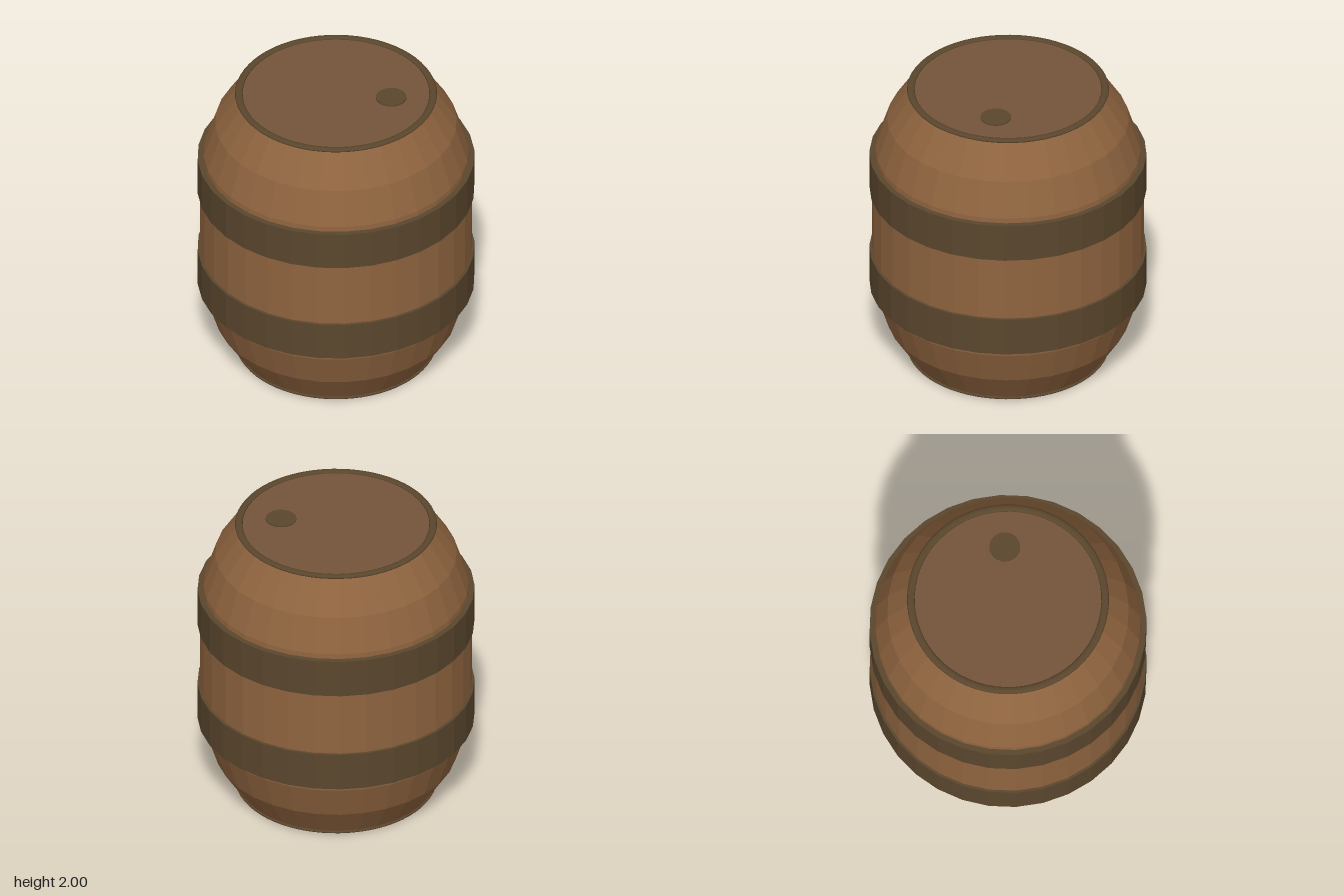
import * as THREE from 'three';

const material = (color, flatShading = false) =>
  new THREE.MeshStandardMaterial({ color, flatShading });

// Revolve a list of [radius, height] pairs
const lathe = (points, sides) =>
  new THREE.LatheGeometry(points.map(([r, y]) => new THREE.Vector2(r, y)), sides);

export function createModel() {
  const barrel = new THREE.Group();
  barrel.name = 'barrel';
  const wood = material(0x8f643f, true);
  const headWood = material(0x75533a);
  const iron = material(0x5a462d, true);
  const rimIron = material(0x5a462d);

  const add = (name, geometry, mat, x, y) => {
    const mesh = new THREE.Mesh(geometry, mat);
    mesh.name = name;
    mesh.position.set(x, y, 0);
    barrel.add(mesh);
    return mesh;
  };

  // Bulging staves, mirrored about the middle
  const half = [[0.645, 0.012], [0.79, 0.235], [0.867, 0.47], [0.89, 0.78]];
  const profile = [...half, ...half.map(([r, y]) => [r, 2 - y]).reverse()];
  add('staves', lathe(profile, 32), wood, 0, 0);

  // Wide hoops with flat upper and lower edges
  const hoop = [[0.85, -0.133], [0.906, -0.133], [0.906, 0.133], [0.85, 0.133]];
  for (const [name, y] of [['lowerHoop', 0.64], ['upperHoop', 1.363]]) {
    add(name, lathe(hoop, 32), iron, 0, y);
  }

  // Round heads and the flattened rims around them
  for (const [side, y, s] of [['bottom', 0, 1], ['top', 2, -1]]) {
    add(side + 'Head', new THREE.CylinderGeometry(0.64, 0.64, 0.02, 64), headWood, 0, y + s * 0.022);
    const rim = new THREE.TorusGeometry(0.635, 0.025, 10, 64).rotateX(Math.PI / 2).scale(1, 0.48, 1);
    add(side + 'Rim', rim, rimIron, 0, y + s * 0.012);
  }

  // Bung set off-centre in the top head
  add('bung', new THREE.CylinderGeometry(0.1, 0.1, 0.02, 32), rimIron, 0.364, 1.987);
  return barrel;
}
